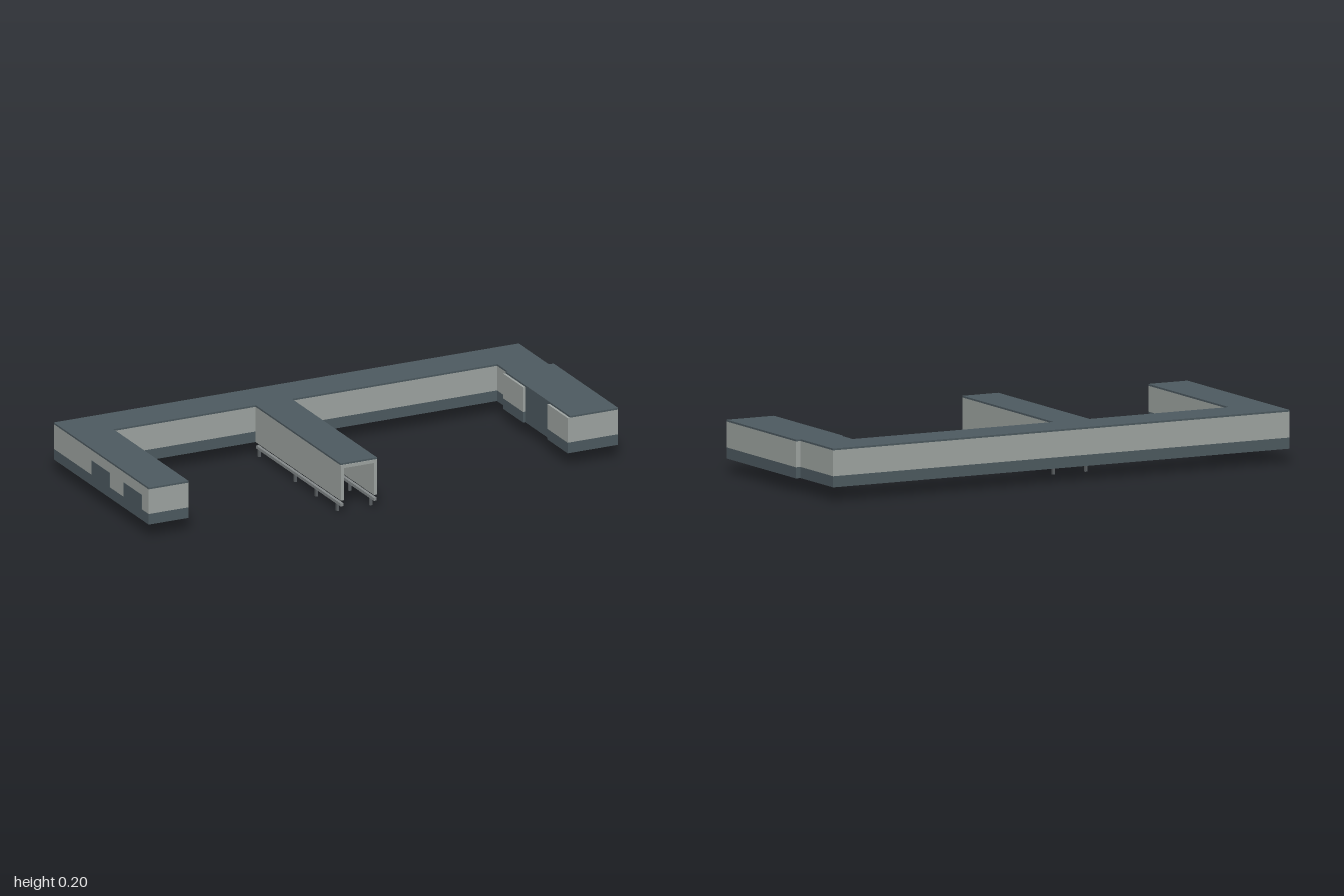
import * as THREE from 'three';

const wallGrey = new THREE.MeshStandardMaterial({ name: 'wallGrey', color: 0xa0a6a3 });
const slate = new THREE.MeshStandardMaterial({ name: 'slate', color: 0x4e5b61 });
const railGrey = new THREE.MeshStandardMaterial({ name: 'railGrey', color: 0x868b8c });
const legGrey = new THREE.MeshStandardMaterial({ name: 'legGrey', color: 0x5a5f62 });

const BASE = 0.055, BAND = 0.098, EAVE = 0.198, TOP = 0.205, T = 0.006;

// Box given by its two extreme corners
function block(parent, name, material, x0, x1, y0, y1, z0, z1) {
  const mesh = new THREE.Mesh(new THREE.BoxGeometry(x1 - x0, y1 - y0, z1 - z0), material);
  mesh.position.set((x0 + x1) / 2, (y0 + y1) / 2, (z0 + z1) / 2);
  mesh.name = name;
  parent.add(mesh);
}

// Thin wall with a slate plinth band below and a plain upper part
function wall(parent, name, x0, x1, z0, z1, upper = wallGrey) {
  const group = new THREE.Group();
  group.name = name;
  block(group, 'plinthBand', slate, x0, x1, BASE, BAND, z0, z1);
  block(group, 'upperWall', upper, x0, x1, BAND, EAVE, z0, z1);
  parent.add(group);
}

export function createModel() {
  const model = new THREE.Group();
  model.name = 'building';

  // Flat roof over the back wing, both side wings and the middle bridge
  const outline = [
    [-1, -0.45], [0.98, -0.45], [0.98, -0.19], [1, -0.19], [1, 0.363], [0.795, 0.363],
    [0.795, -0.19], [0.803, -0.19], [0.803, -0.28], [-0.07, -0.28], [-0.07, 0.447],
    [-0.225, 0.447], [-0.225, -0.28], [-0.83, -0.28], [-0.83, 0.363], [-1, 0.363],
  ];
  const shape = new THREE.Shape(outline.map(([x, z]) => new THREE.Vector2(x, -z)));
  const roofGeometry = new THREE.ExtrudeGeometry(shape, { depth: TOP - EAVE, bevelEnabled: false });
  roofGeometry.rotateX(-Math.PI / 2);
  const roof = new THREE.Mesh(roofGeometry, slate);
  roof.position.y = EAVE;
  roof.name = 'roof';
  model.add(roof);

  // Back wing, hollow and open underneath
  wall(model, 'backWall', -1, 0.98, -0.45, -0.45 + T);
  wall(model, 'courtyardWall', -0.83, 0.803, -0.28 - T, -0.28);

  // Wing on the -x side, with two slate panels visible inside and outside
  wall(model, 'rightWingOuterWall', -1, -1 + T, -0.45, 0.363);
  wall(model, 'rightWingInnerWall', -0.83 - T, -0.83, -0.28, 0.363);
  wall(model, 'rightWingEndWall', -1, -0.83, 0.363 - T, 0.363);
  for (const [z0, z1] of [[-0.125, 0.03], [0.15, 0.305]]) {
    block(model, 'slatePanel', slate, -1.001, -1 + T + 0.001, BAND, 0.157, z0, z1);
  }

  // Wing on the +x side, stepping outwards past the narrow link
  wall(model, 'linkOuterWall', 0.98 - T, 0.98, -0.45, -0.19);
  wall(model, 'linkInnerWall', 0.803, 0.803 + T, -0.28, -0.19);
  wall(model, 'outerStep', 0.98 - T, 1, -0.19, -0.19 + T);
  wall(model, 'innerStep', 0.785, 0.803 + T, -0.19, -0.19 + T);
  wall(model, 'leftWingOuterWall', 1 - T, 1, -0.19, 0.363);
  wall(model, 'leftWingEndWall', 0.785, 1, 0.363 - T, 0.363);
  wall(model, 'leftWingInnerWallBack', 0.785, 0.797, -0.19, -0.02);
  wall(model, 'leftWingInnerWallFront', 0.785, 0.797, 0.19, 0.363);
  wall(model, 'recessedDoor', 0.795, 0.795 + T, -0.02, 0.19, slate);

  // Middle bridge: an open tunnel with side walls and a ceiling
  block(model, 'bridgeCeiling', wallGrey, -0.225, -0.07, 0.185, EAVE, -0.28, 0.45);
  for (const x of [-0.218, -0.077]) {
    block(model, 'bridgeSideWall', wallGrey, x - 0.007, x + 0.007, BASE, 0.185, -0.28, 0.45);
    // Rail on short legs under each side wall
    block(model, 'rail', railGrey, x - 0.006, x + 0.006, 0.03, 0.042, -0.277, 0.447);
    for (const z of [0.407, 0.227, 0.046, -0.264]) {
      block(model, 'railLeg', legGrey, x - 0.005, x + 0.005, 0, 0.03, z - 0.005, z + 0.005);
    }
  }
  return model;
}
